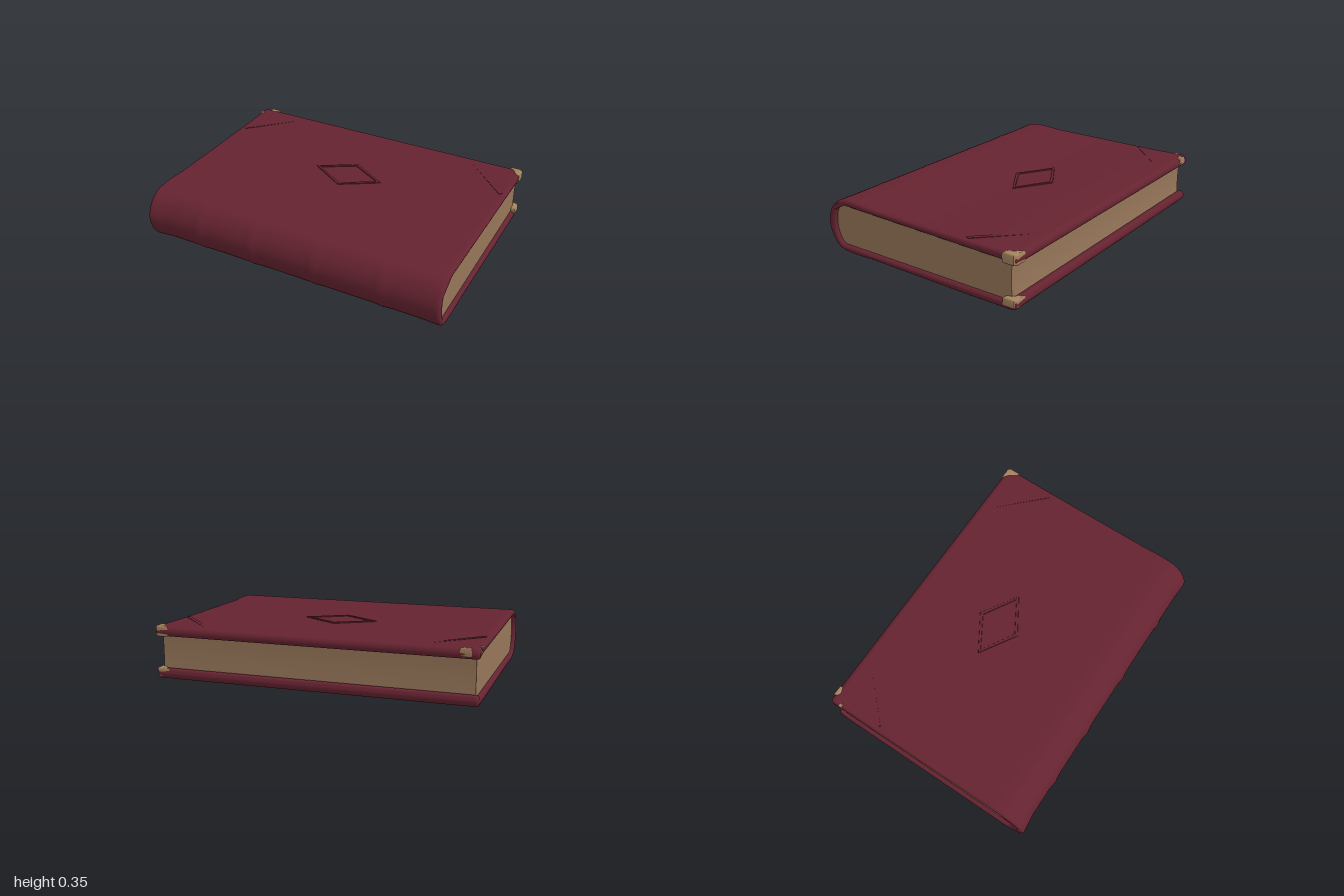
import * as THREE from 'three';
import { toCreasedNormals } from 'three/addons/utils/BufferGeometryUtils.js';

const mat = (name, color) => {
  const m = new THREE.MeshStandardMaterial({ color });
  m.name = name;
  return m;
};

// Extrude a (-z, y) section along x, centred, with rounded ends
function alongX(shape, length, bevel, steps) {
  const g = new THREE.ExtrudeGeometry(shape, {
    depth: length - 2 * bevel, steps, curveSegments: 10, bevelEnabled: bevel > 0,
    bevelThickness: bevel, bevelSize: bevel, bevelOffset: -bevel, bevelSegments: 3,
  });
  g.translate(0, 0, -length / 2 + bevel);
  g.rotateY(Math.PI / 2);
  return g;
}

// Extrude an (x, z) outline upward between two heights
function slab(points, y0, y1, bevel = 0, hole) {
  const toShape = (p) => new THREE.Shape(p.map(([x, z]) => new THREE.Vector2(x, -z)));
  const shape = toShape(points);
  if (hole) shape.holes.push(toShape(hole));
  const g = new THREE.ExtrudeGeometry(shape, {
    depth: y1 - y0 - 2 * bevel, bevelEnabled: bevel > 0, bevelThickness: bevel,
    bevelSize: bevel, bevelOffset: -bevel, bevelSegments: 3,
  });
  g.rotateX(-Math.PI / 2);
  g.translate(0, y0 + bevel, 0);
  return toCreasedNormals(g, 0.7);
}

function coverGeometry() {
  // C-shaped section: top board, rounded spine, bottom board
  const s = new THREE.Shape();
  s.moveTo(0.69, 0.348);
  s.lineTo(0.4, 0.344);
  s.lineTo(-0.36, 0.347);
  s.bezierCurveTo(-0.45, 0.356, -0.5, 0.358, -0.56, 0.352);
  s.bezierCurveTo(-0.65, 0.342, -0.705, 0.25, -0.705, 0.18);
  s.bezierCurveTo(-0.705, 0.12, -0.66, 0.024, -0.59, 0.012);
  s.bezierCurveTo(-0.5, 0.003, -0.45, 0.007, -0.36, 0.013);
  s.lineTo(0.4, 0.012);
  s.lineTo(0.69, 0.016);
  s.bezierCurveTo(0.735, 0.018, 0.735, 0.084, 0.7, 0.084);
  s.bezierCurveTo(0.67, 0.083, 0.68, 0.062, 0.62, 0.062);
  s.lineTo(-0.58, 0.05);
  s.bezierCurveTo(-0.62, 0.05, -0.65, 0.12, -0.65, 0.18);
  s.bezierCurveTo(-0.65, 0.25, -0.63, 0.312, -0.58, 0.312);
  s.lineTo(0.62, 0.296);
  s.bezierCurveTo(0.66, 0.296, 0.67, 0.284, 0.7, 0.284);
  s.bezierCurveTo(0.735, 0.286, 0.735, 0.346, 0.69, 0.348);
  const g = alongX(s, 2, 0.018, 80);
  // Raised bands and flared ends on the spine
  const p = g.attributes.position;
  for (let i = 0; i < p.count; i++) {
    const x = p.getX(i), z = p.getZ(i);
    const w = THREE.MathUtils.smoothstep(z, 0.5, 0.7);
    let d = 0.014 * THREE.MathUtils.smoothstep(-x, 0.85, 1) + 0.006 * THREE.MathUtils.smoothstep(x, 0.85, 1);
    for (const b of [-0.62, -0.24, 0.19, 0.63]) d += 0.008 * Math.exp(-(((x - b) / 0.03) ** 2));
    p.setZ(i, z + w * d);
  }
  return toCreasedNormals(g, 0.7);
}

function pagesGeometry() {
  const s = new THREE.Shape();
  s.moveTo(0.68, 0.31);
  s.lineTo(-0.56, 0.32);
  s.bezierCurveTo(-0.63, 0.31, -0.655, 0.25, -0.655, 0.18);
  s.bezierCurveTo(-0.655, 0.12, -0.63, 0.045, -0.57, 0.042);
  s.lineTo(0.68, 0.05);
  s.quadraticCurveTo(0.67, 0.18, 0.68, 0.31);
  return toCreasedNormals(alongX(s, 1.95, 0, 1), 0.5);
}

export function createModel() {
  const book = new THREE.Group();
  book.name = 'book';
  const leather = mat('burgundy leather', 0x652330);
  const paper = mat('aged paper', 0x967659);
  const worn = mat('worn board', 0xa5825f);
  const add = (name, geometry, material) => {
    const m = new THREE.Mesh(geometry, material);
    m.name = name;
    book.add(m);
  };

  add('cover', coverGeometry(), leather);
  add('pageBlock', pagesGeometry(), paper);

  // Embossed diamond frames and diagonal corner ridges on both boards
  const diamond = (a, b) => [[-a, -0.13], [0, -0.13 + b], [a, -0.13], [0, -0.13 - b]];
  for (const [side, y0, y1] of [['top', 0.335, 0.352], ['bottom', 0.006, 0.02]]) {
    add(side + 'Diamond', slab(diamond(0.235, 0.145), y0, y1, 0.004, diamond(0.205, 0.122)), leather);
    const trim = side === 'top' ? [0.34, 0.3475] : [0.0105, 0.02];
    for (const sx of [-1, 1]) {
      const ridge = [[0.96, -0.36], [0.65, -0.67], [0.67, -0.685], [0.975, -0.38]];
      const pts = ridge.map(([x, z]) => [sx * x, z]);
      add(side + 'CornerRidge', slab(sx < 0 ? pts.reverse() : pts, ...trim), leather);
    }
  }

  // Worn patches on the back corners
  const bigPatch = [[0.915, -0.722], [0.985, -0.724], [1.003, -0.71], [1.003, -0.635], [0.975, -0.64], [0.95, -0.68]];
  add('topLeftWornCorner', slab(bigPatch, 0.282, 0.351, 0.012), worn);
  add('bottomLeftWornCorner', slab(bigPatch, 0.032, 0.087, 0.012), worn);
  const smallPatch = [[-0.955, -0.726], [-0.89, -0.724], [-0.89, -0.705], [-0.925, -0.69], [-0.95, -0.7]];
  add('topRightWornCorner', slab(smallPatch, 0.3, 0.35, 0.006), worn);
  const chip = [[-1.002, -0.66], [-0.978, -0.655], [-0.98, -0.635], [-1.002, -0.63]];
  add('topRightWornChip', slab(chip, 0.31, 0.349, 0.004), worn);

  return book;
}
